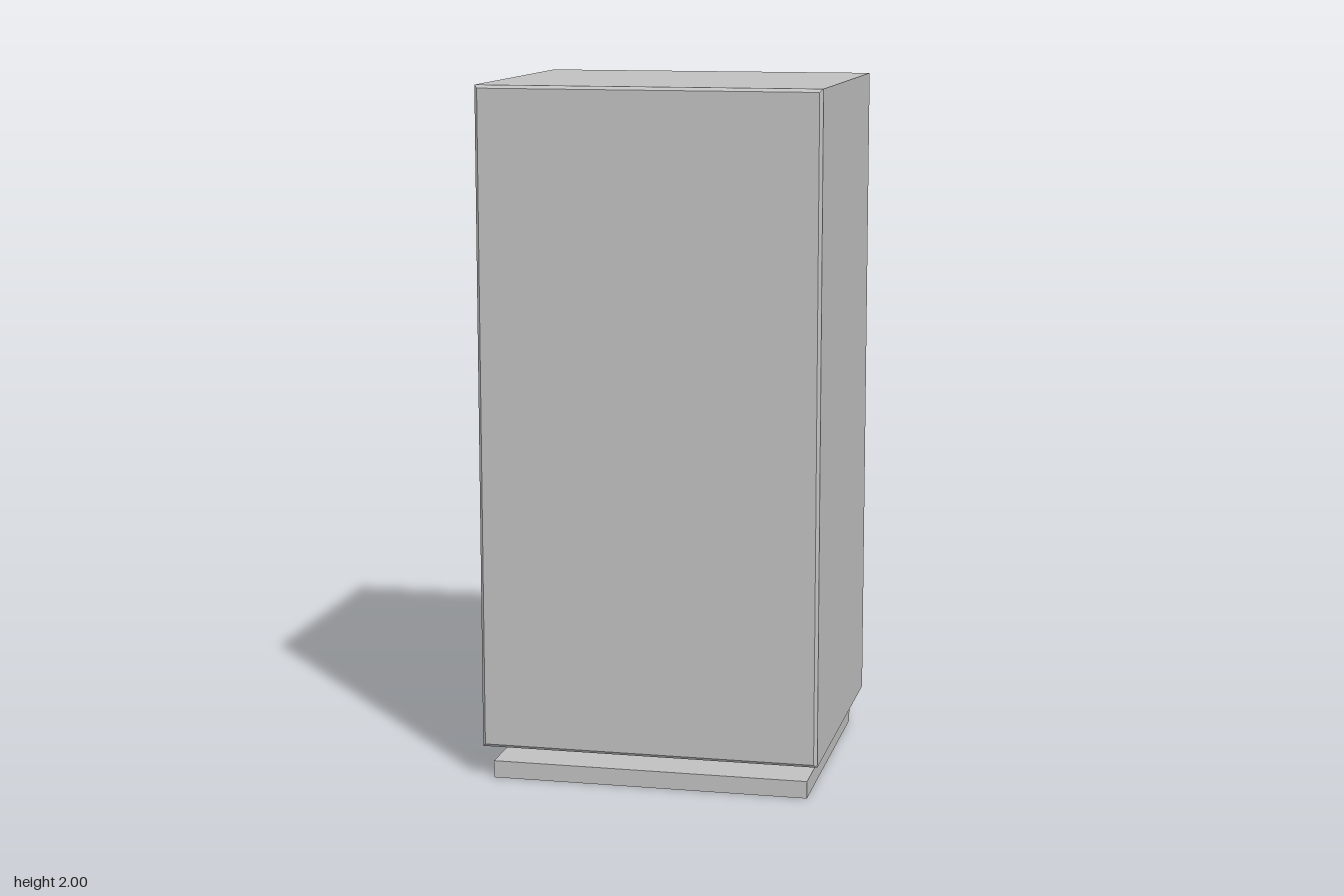
import * as THREE from 'three';

const grey = new THREE.MeshStandardMaterial({ color: 0xc0c0c0 });
grey.name = 'grey metal';

const BACK = -0.426; // z of the panel that carries the controls

// Box between two corners with all edges chamfered by c
function chamferBox(x0, x1, y0, y1, z0, z1, c) {
  const s = new THREE.Shape();
  s.moveTo(x0 + c, y0 + c);
  s.lineTo(x1 - c, y0 + c);
  s.lineTo(x1 - c, y1 - c);
  s.lineTo(x0 + c, y1 - c);
  s.closePath();
  const g = new THREE.ExtrudeGeometry(s, {
    depth: z1 - z0 - 2 * c, bevelEnabled: true,
    bevelSize: c, bevelThickness: c, bevelSegments: 1,
  });
  return g.translate(0, 0, z0 + c);
}

function plainBox(x0, x1, y0, y1, z0, z1) {
  return new THREE.BoxGeometry(x1 - x0, y1 - y0, z1 - z0)
    .translate((x0 + x1) / 2, (y0 + y1) / 2, (z0 + z1) / 2);
}

export function createModel() {
  const model = new THREE.Group();
  model.name = 'vendingMachine';

  const add = (name, geometry, parent = model) => {
    const mesh = new THREE.Mesh(geometry, grey);
    mesh.name = name;
    parent.add(mesh);
  };
  // Raised plate on the control face, reaching out to z = out
  const plate = (name, x0, x1, y0, y1, out) =>
    add(name, plainBox(x0, x1, y0, y1, out, BACK + 0.004));

  // Cabinet and the separate plinth under it
  add('cabinet', chamferBox(-0.49, 0.49, 0.095, 2, BACK, 0.446, 0.009));
  add('plinth', plainBox(-0.46, 0.46, 0, 0.05, -0.355, 0.43));

  // Display window: raised frame around a recessed pane
  const frame = new THREE.Shape();
  frame.moveTo(-0.46, 0.44);
  frame.lineTo(0.217, 0.44);
  frame.lineTo(0.217, 1.92);
  frame.lineTo(-0.46, 1.92);
  frame.closePath();
  const hole = new THREE.Path();
  hole.moveTo(-0.42, 0.485);
  hole.lineTo(-0.42, 1.875);
  hole.lineTo(0.177, 1.875);
  hole.lineTo(0.177, 0.485);
  hole.closePath();
  frame.holes.push(hole);
  add('windowFrame', new THREE.ExtrudeGeometry(frame, { depth: 0.026, bevelEnabled: false })
    .translate(0, 0, -0.45));
  plate('windowPane', -0.42, 0.177, 0.485, 1.875, -0.429);

  // Control column
  plate('infoPanel', 0.25, 0.45, 1.6, 1.86, -0.432);
  plate('display', 0.25, 0.45, 1.49, 1.58, -0.439);
  plate('coinSlot', 0.315, 0.387, 1.14, 1.167, -0.439);
  plate('noteSlot', 0.293, 0.41, 1.03, 1.077, -0.438);
  plate('coinReturn', 0.293, 0.41, 0.235, 0.32, -0.442);
  plate('deliveryFlap', -0.392, 0.142, 0.18, 0.35, -0.435);

  // Keypad: three columns by four rows
  const keypad = new THREE.Group();
  keypad.name = 'keypad';
  model.add(keypad);
  for (let row = 0; row < 4; row++) {
    for (let col = 0; col < 3; col++) {
      const x = 0.35 + (col - 1) * 0.043;
      const y = 1.391 - row * 0.043;
      add('key', chamferBox(x - 0.017, x + 0.017, y - 0.0145, y + 0.0145,
        -0.446, BACK + 0.005, 0.004), keypad);
    }
  }
  return model;
}
